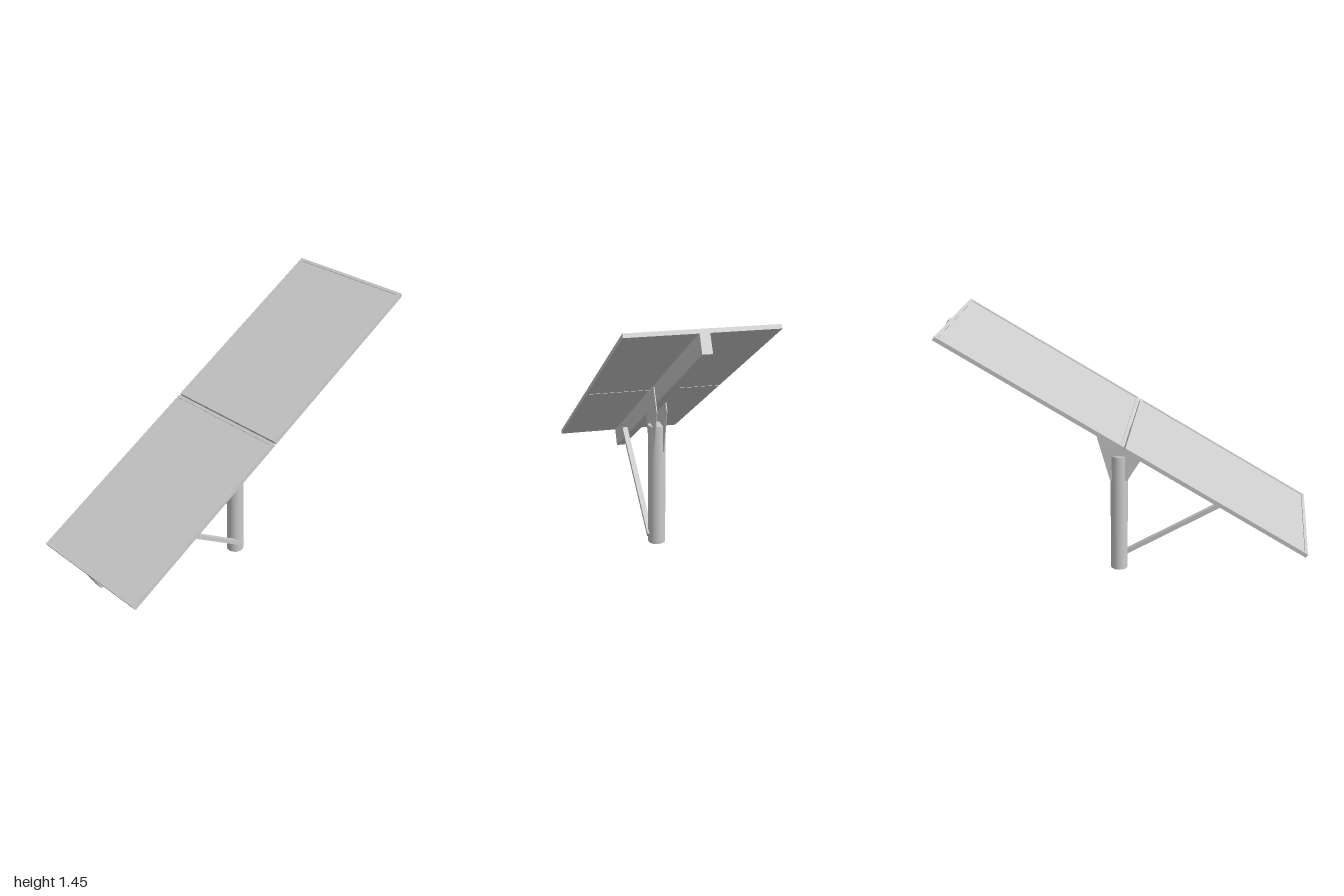
import * as THREE from 'three';

const grey = new THREE.MeshStandardMaterial({ color: 0xcccccc });

function add(parent, name, geometry, x = 0, y = 0, z = 0) {
  const mesh = new THREE.Mesh(geometry, grey);
  mesh.name = name;
  mesh.position.set(x, y, z);
  parent.add(mesh);
  return mesh;
}

function polygon(points) {
  return new THREE.Shape(points.map(([x, y]) => new THREE.Vector2(x, y)));
}

function rectangle(w, h) {
  return polygon([[-w / 2, -h / 2], [w / 2, -h / 2], [w / 2, h / 2], [-w / 2, h / 2]]);
}

// One framed solar panel, lying flat with its top at y = 0
function solarPanel(length, width, thickness) {
  const panel = new THREE.Group();
  panel.name = 'solarPanel';
  const rim = 0.018, recess = 0.004;
  const outline = rectangle(length, width);
  outline.holes.push(rectangle(length - 2 * rim, width - 2 * rim));
  const frame = new THREE.ExtrudeGeometry(outline, { depth: thickness, bevelEnabled: false });
  frame.rotateX(-Math.PI / 2);
  add(panel, 'panelFrame', frame, 0, -thickness, 0);
  const glassDepth = thickness - recess;
  add(panel, 'panelGlass', new THREE.BoxGeometry(length - 2 * rim, glassDepth, width - 2 * rim),
    0, -recess - glassDepth / 2, 0);
  return panel;
}

export function createModel() {
  const model = new THREE.Group();
  model.name = 'solarPanelStand';

  // Tilted assembly: origin at the low end, x runs up the slope
  const tilted = new THREE.Group();
  tilted.name = 'tiltedArray';
  tilted.position.set(-1, 0.337, 0);
  tilted.rotation.z = Math.PI / 6;
  model.add(tilted);

  const panelLength = 1.107, gap = 0.008;
  for (let i = 0; i < 2; i++) {
    const panel = solarPanel(panelLength, 0.745, 0.022);
    panel.position.x = panelLength / 2 + i * (panelLength + gap);
    tilted.add(panel);
  }

  // Support beam under the panels
  add(tilted, 'supportBeam', new THREE.BoxGeometry(2.236, 0.102, 0.05), 1.118, -0.073, 0);

  // Post
  add(model, 'post', new THREE.CylinderGeometry(0.048, 0.048, 0.695, 32), 0.038, 0.3475, 0);

  // Pair of gusset plates clasping the beam
  const plateShape = polygon([
    [-0.01, 0.55], [0.085, 0.55], [0.157, 0.805], [0.088, 0.925], [-0.08, 0.828], [-0.08, 0.67],
  ]);
  for (const side of [-1, 1]) {
    const plate = new THREE.ExtrudeGeometry(plateShape, { depth: 0.005, bevelEnabled: false });
    plate.translate(0, 0, -0.0025);
    add(model, 'gussetPlate', plate, 0, 0, side * 0.0275);
  }

  // Diagonal brace from the foot of the post to the beam
  const a = new THREE.Vector2(-0.61, 0.455), b = new THREE.Vector2(0.05, 0.047);
  const brace = add(model, 'diagonalBrace', new THREE.BoxGeometry(a.distanceTo(b), 0.024, 0.03),
    (a.x + b.x) / 2, (a.y + b.y) / 2, 0.042);
  brace.rotation.z = Math.atan2(b.y - a.y, b.x - a.x);

  return model;
}
